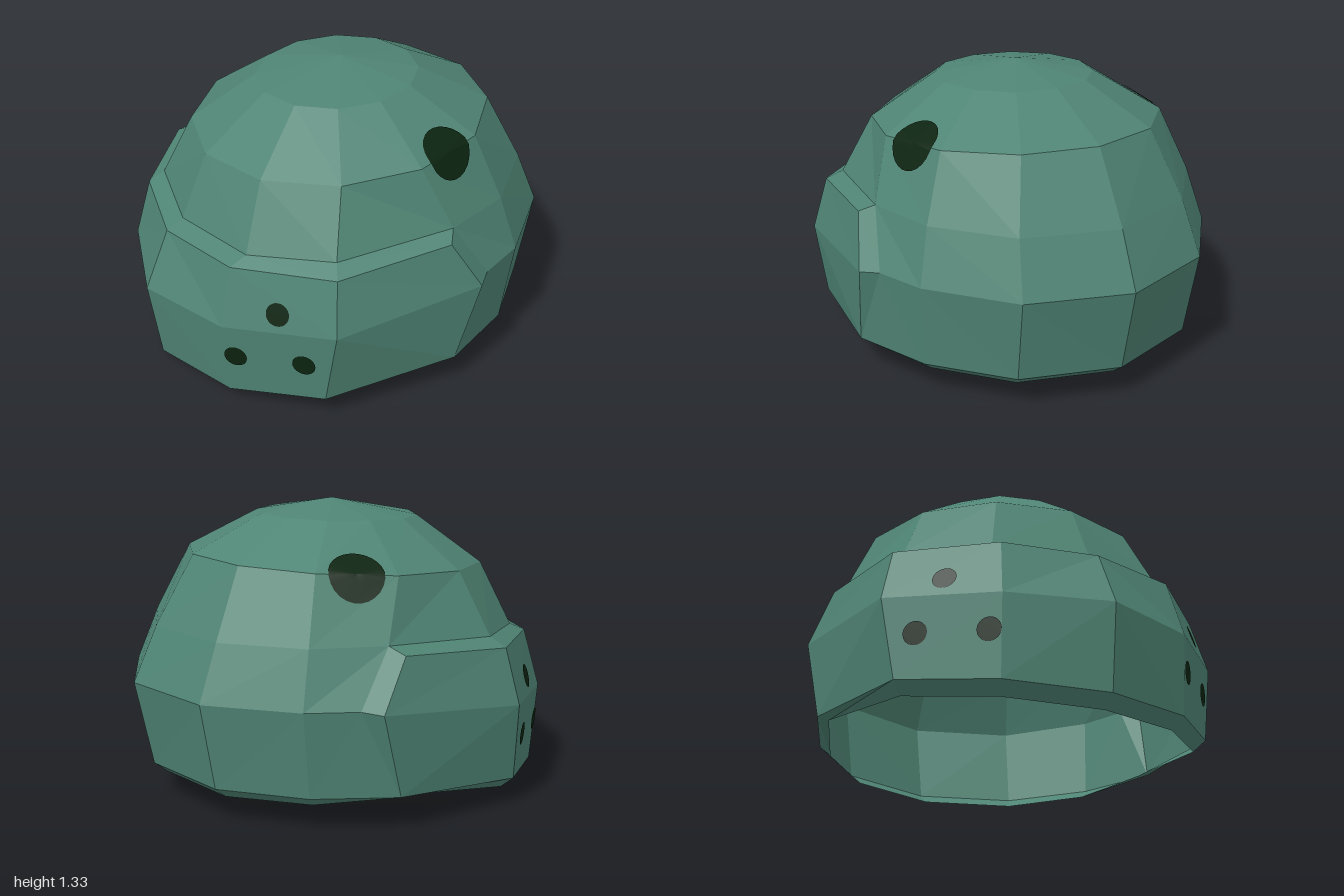
import * as THREE from 'three';

const shellGreen = new THREE.MeshStandardMaterial({ color: 0x4f8474, flatShading: true, side: THREE.DoubleSide });
shellGreen.name = 'shell green';
const spotDark = new THREE.MeshStandardMaterial({ color: 0x0c2410, side: THREE.DoubleSide });
spotDark.name = 'spot dark green';

// Point on an elliptical ring, angle in degrees from +x towards +z
function onRing(cx, a, b, y, tilt, degrees) {
  const t = THREE.MathUtils.degToRad(degrees);
  return [cx + a * Math.cos(t), y + tilt * Math.cos(t), b * Math.sin(t)];
}
const bottomRing = (d) => onRing(0, 0.92, 0.83, 0.16, 0, d);
const wideRing = (d) => onRing(0, 1, 0.866, 0.55, 0, d);
const upperRing = (d) => onRing(0, 0.89, 0.79, 0.8, 0, d);
const shoulderRing = (d) => onRing(0.02, 0.69, 0.66, 1.07, 0.04, d);
const crownRing = (d) => onRing(0.005, 0.375, 0.36, 1.262, 0.012, d);
const apex = [0.03, 1.33, 0];

// Guard cross-sections: bottom, widest point, top, ledge where it meets the dome
const guardSections = [
  [[0.1, 0.16, 0.86], [0.2, 0.54, 0.895], [0.07, 0.765, 0.83], [0.12, 0.8, 0.77]],
  [[-0.52, 0.12, 0.76], [-0.5, 0.48, 0.82], [-0.46, 0.73, 0.76], [-0.42, 0.77, 0.69]],
  [[-0.82, 0.075, 0.43], [-0.85, 0.44, 0.44], [-0.78, 0.71, 0.41], [-0.7, 0.745, 0.41]],
  [[-0.95, 0.05, 0], [-1, 0.43, 0], [-0.88, 0.7, 0], [-0.8, 0.74, 0]],
];

// Adds the inward lip below a section and the dome above it
function column(section, degrees) {
  const [x, y, z] = section[0];
  const lip = [x * 0.93, y - Math.min(0.05, Math.abs(x) * 0.1), z * 0.94];
  return [lip, ...section, shoulderRing(degrees), crownRing(degrees), apex];
}

// Half the shell as columns from +x round to -x
function shellColumns() {
  const open = [0, 32, 60].map((d, k) =>
    column([bottomRing(d), wideRing(d), upperRing(d), upperRing(d)], k * 30));
  const [foot, , , ledge] = guardSections[0];
  const seam = column([foot, wideRing(74), ledge, ledge], 90);
  const guard = guardSections.map((section, k) => column(section, 90 + k * 30));
  return [...open, seam, ...guard];
}

// Builds the faces of the chosen cells, mirrored across z
function shellPart(name, columns, wanted) {
  const pos = [];
  const same = (p, q) => p.every((v, k) => v === q[k]);
  const tri = (a, b, c) => {
    if (same(a, b) || same(b, c) || same(a, c)) return;
    pos.push(...a, ...b, ...c);
    for (const p of [a, c, b]) pos.push(p[0], p[1], -p[2]);
  };
  for (let j = 0; j < columns.length - 1; j++) {
    for (let i = 0; i < columns[j].length - 1; i++) {
      if (!wanted(j, i)) continue;
      const a = columns[j][i], b = columns[j + 1][i], c = columns[j + 1][i + 1], d = columns[j][i + 1];
      tri(a, d, c);
      tri(a, c, b);
    }
  }
  const geo = new THREE.BufferGeometry();
  geo.setAttribute('position', new THREE.Float32BufferAttribute(pos, 3));
  geo.computeVertexNormals();
  const mesh = new THREE.Mesh(geo, shellGreen);
  mesh.name = name;
  return mesh;
}

// A thin round patch laid over the shell; offset moves it outside or inside
function spot(name, shell, centre, normal, radius, offset) {
  const n = new THREE.Vector3(...normal).normalize();
  const facing = new THREE.Quaternion().setFromUnitVectors(new THREE.Vector3(0, 0, 1), n);
  const geo = new THREE.RingGeometry(0, radius, 24, 6).applyQuaternion(facing).translate(...centre);
  const points = geo.attributes.position;
  const ray = new THREE.Raycaster();
  const p = new THREE.Vector3();
  for (let k = 0; k < points.count; k++) {
    p.fromBufferAttribute(points, k);
    ray.set(p.clone().addScaledVector(n, 0.4), n.clone().negate());
    const hit = ray.intersectObjects(shell, false)[0];
    if (hit) p.copy(hit.point);
    p.addScaledVector(n, offset);
    points.setXYZ(k, p.x, p.y, p.z);
  }
  geo.computeVertexNormals();
  const mesh = new THREE.Mesh(geo, spotDark);
  mesh.name = name;
  return mesh;
}

export function createModel() {
  const group = new THREE.Group();
  group.name = 'helmet';

  // Dome, raised guard round the -x end, and the lip turned in underneath
  const columns = shellColumns();
  const inGuard = (j, i) => j >= 3 && i >= 1 && i <= 3;
  const shell = [
    shellPart('dome', columns, (j, i) => i >= 1 && !inGuard(j, i)),
    shellPart('raisedGuard', columns, inGuard),
    shellPart('bottomLip', columns, (j, i) => i === 0),
  ];
  group.add(...shell);

  // Dark round spots on both sides, seen from outside and inside
  const guardNormal = [-0.73, 0.03, 0.68];
  const spots = [
    ['upperSpot', [0.19, 1.07, 0.6], [0.17, 0.68, 0.7], 0.122],
    ['guardSpotTop', [-0.675, 0.545, 0.62], guardNormal, 0.052],
    ['guardSpotOuter', [-0.8, 0.285, 0.47], guardNormal, 0.052],
    ['guardSpotInner', [-0.59, 0.305, 0.7], guardNormal, 0.052],
  ];
  for (const [name, [x, y, z], [nx, ny, nz], radius] of spots) {
    for (const side of [1, -1]) {
      const label = name + (side > 0 ? 'Front' : 'Back');
      for (const offset of [0.005, -0.005]) {
        const part = offset > 0 ? label : label + 'Inside';
        group.add(spot(part, shell, [x, y, z * side], [nx, ny, nz * side], radius, offset));
      }
    }
  }
  return group;
}
